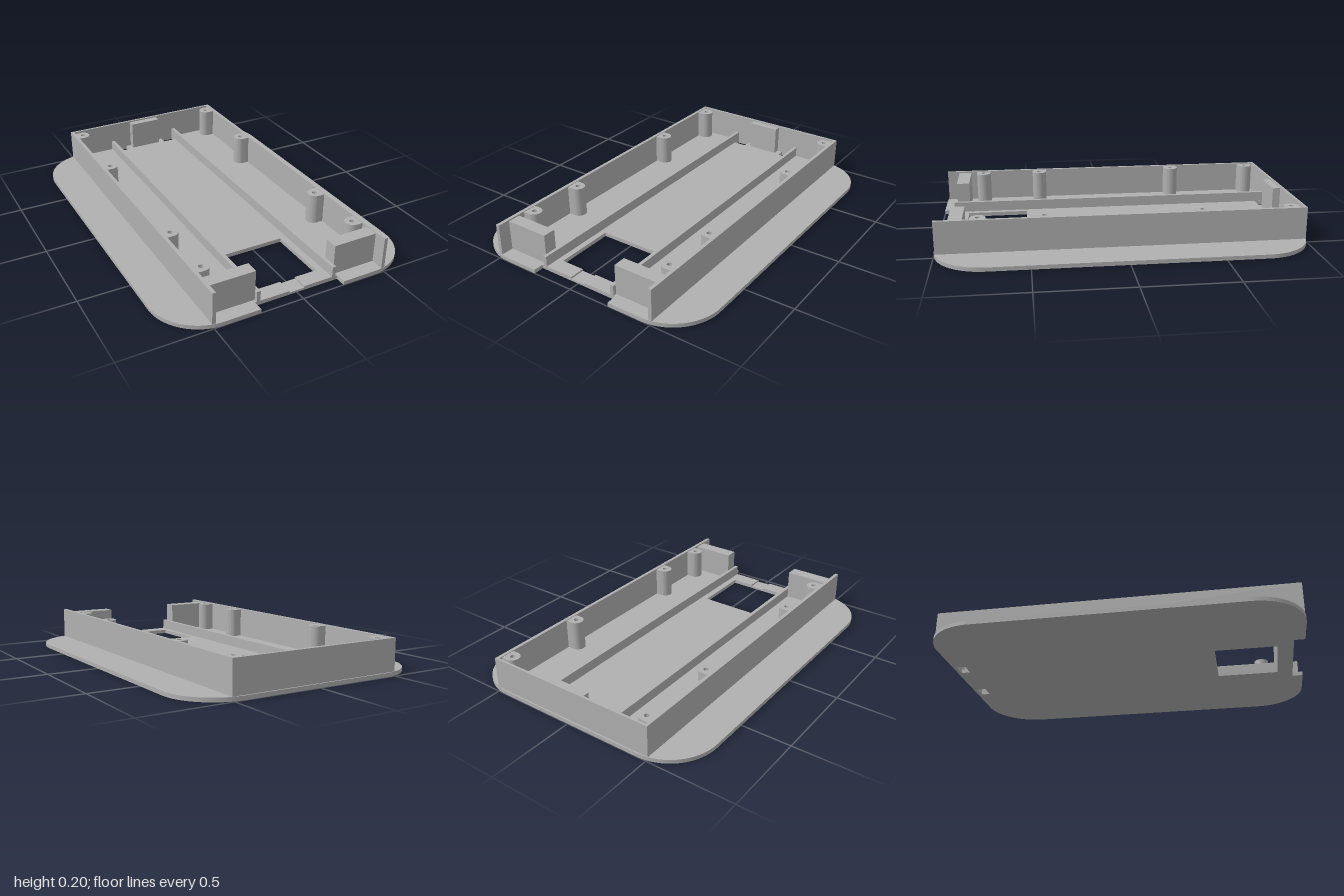
import * as THREE from 'three';
import { toCreasedNormals } from 'three/addons/utils/BufferGeometryUtils.js';

export function createModel() {
  const model = new THREE.Group();
  model.name = 'enclosureShell';
  const grey = new THREE.MeshStandardMaterial({ color: 0xb0b0b0 });
  grey.name = 'plain grey';

  const FLOOR = 0.022, GROOVE = 0.012, TOP = 0.2;

  function add(name, geometry) {
    const mesh = new THREE.Mesh(geometry, grey);
    mesh.name = name;
    model.add(mesh);
    return mesh;
  }

  // Box given by its limits on each axis
  function box(name, x0, x1, y0, y1, z0, z1) {
    const g = new THREE.BoxGeometry(x1 - x0, y1 - y0, z1 - z0);
    g.translate((x0 + x1) / 2, (y0 + y1) / 2, (z0 + z1) / 2);
    return add(name, g);
  }

  // Plan outline (x, z) raised from y0 to y1
  function slab(name, shape, y0, y1) {
    const g = new THREE.ExtrudeGeometry(shape, { depth: y1 - y0, bevelEnabled: false, curveSegments: 20 });
    g.rotateX(Math.PI / 2);
    g.translate(0, y1, 0);
    return add(name, toCreasedNormals(g, 0.6));
  }

  function rectHole(x0, x1, z0, z1) {
    return new THREE.Path([[x0, z0], [x0, z1], [x1, z1], [x1, z0]].map(p => new THREE.Vector2(...p)));
  }

  // Rounded plate with a front notch; the upper layer also has the cable groove
  const win = { x0: -0.18, x1: 0.175, z0: 0.508, z1: 0.852 };
  function plateShape(withGroove) {
    const w = 0.718, r = 0.275, n = 0.244, zn = 0.94, g = 0.044;
    const s = new THREE.Shape();
    s.moveTo(-w + r, -1);
    s.lineTo(w - r, -1);
    s.absarc(w - r, -1 + r, r, -Math.PI / 2, 0, false);
    s.lineTo(w, 1 - r);
    s.absarc(w - r, 1 - r, r, 0, Math.PI / 2, false);
    s.lineTo(n, 1);
    s.lineTo(n, zn);
    if (withGroove) {
      [[g, zn], [g, win.z1], [win.x1, win.z1], [win.x1, win.z0], [win.x0, win.z0],
        [win.x0, win.z1], [-g, win.z1], [-g, zn]].forEach(p => s.lineTo(...p));
    } else {
      s.holes.push(rectHole(win.x0, win.x1, win.z0, win.z1));
    }
    s.lineTo(-n, zn);
    s.lineTo(-n, 1);
    s.lineTo(-w + r, 1);
    s.absarc(-w + r, 1 - r, r, Math.PI / 2, Math.PI, false);
    s.lineTo(-w, -1 + r);
    s.absarc(-w + r, -1 + r, r, Math.PI, Math.PI * 1.5, false);
    // Latch slots beside the back wall
    s.holes.push(rectHole(-0.212, -0.13, -0.978, -0.926), rectHole(0.13, 0.212, -0.978, -0.926));
    return s;
  }
  slab('lowerPlate', plateShape(false), 0, GROOVE);
  slab('upperPlate', plateShape(true), GROOVE, FLOOR);

  // Back wall and the block in its middle
  box('backWall', -0.507, 0.507, FLOOR, TOP, -0.992, -0.978);
  box('backBlock', -0.097, 0.095, FLOOR, 0.192, -0.978, -0.934);

  // D-shaped screw post joined to a side wall, with a bored hole
  function post(side, z) {
    const cx = side * 0.45, r = 0.042, wall = side * 0.488;
    const s = new THREE.Shape();
    s.moveTo(wall, z - side * r);
    s.lineTo(wall, z + side * r);
    s.lineTo(cx, z + side * r);
    const a = side * Math.PI / 2;
    s.absarc(cx, z, r, a, a + Math.PI, false);
    s.closePath();
    const hole = new THREE.Path();
    hole.absarc(cx, z, 0.014, 0, Math.PI * 2, true);
    s.holes.push(hole);
    slab('screwPost', s, FLOOR, 0.196);
  }

  for (const side of [1, -1]) {
    const span = (a, b) => side > 0 ? [a, b] : [-b, -a];
    box('sideWall', ...span(0.487, 0.507), FLOOR, TOP, -0.992, 0.992);
    box('innerRail', ...span(0.213, 0.234), FLOOR, 0.08, -0.978, 0.94);
    box('frontBlock', ...span(0.232, 0.488), FLOOR, 0.192, 0.846, 0.92);
    for (const z of [-0.92, -0.427, 0.419, 0.767]) post(side, z);
  }
  return model;
}
